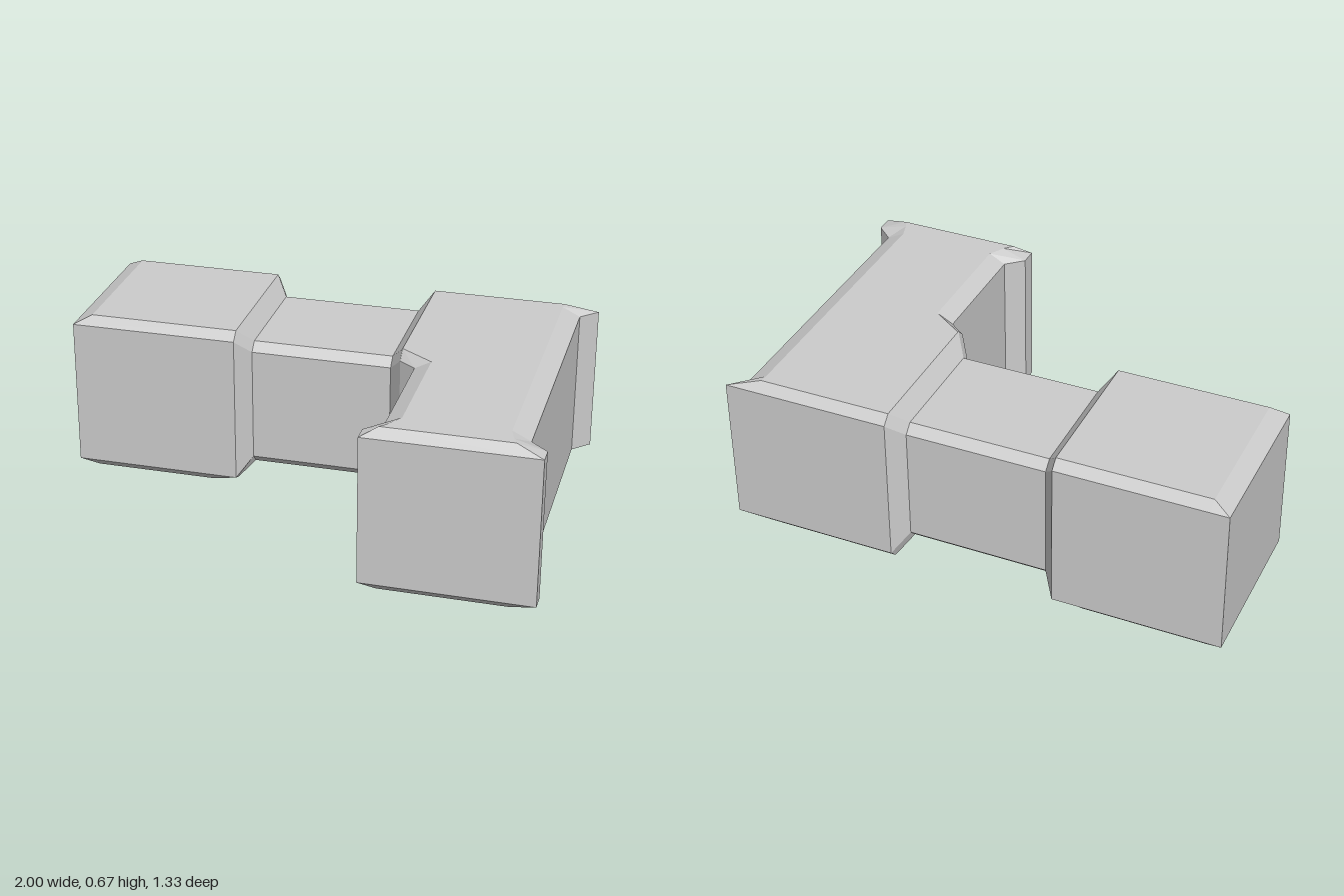
import * as THREE from 'three';

// Skin between equal-length rings; each ring winds clockwise seen along the loft direction's tip.
function loft(name, rings, dir, capStart, capEnd) {
  const pos = [];
  const d = new THREE.Vector3(...dir);
  const tri = (...pts) => pts.forEach((p) => pos.push(...p));
  for (let r = 0; r + 1 < rings.length; r++) {
    const lo = rings[r], hi = rings[r + 1];
    lo.forEach((a, i) => {
      const j = (i + 1) % lo.length;
      tri(a, hi[i], hi[j]);
      tri(a, hi[j], lo[j]);
    });
  }
  const cap = (ring, sign) => {
    const flat = ring.map(([x, y, z]) => (dir[0] ? new THREE.Vector2(z, y) : new THREE.Vector2(x, z)));
    for (const face of THREE.ShapeUtils.triangulateShape(flat, [])) {
      const [a, b, c] = face.map((i) => new THREE.Vector3(...ring[i]));
      const n = b.clone().sub(a).cross(c.clone().sub(a));
      const order = n.dot(d) * sign > 0 ? [a, b, c] : [a, c, b];
      tri(...order.map((v) => v.toArray()));
    }
  };
  if (capStart) cap(rings[0], -1);
  if (capEnd) cap(rings[rings.length - 1], 1);
  const geo = new THREE.BufferGeometry();
  geo.setAttribute('position', new THREE.Float32BufferAttribute(pos, 3));
  geo.computeVertexNormals();
  const mesh = new THREE.Mesh(geo, new THREE.MeshStandardMaterial({ color: 0xcccccc, flatShading: true }));
  mesh.name = name;
  return mesh;
}

// Chamfered rectangle in the plane of constant x.
function section(x, z0, z1, y0, y1, c) {
  return [
    [z0 + c, y0], [z1 - c, y0], [z1, Math.max(y0, 0.035) + (y0 > 0.05 ? c : 0)], [z1, y1 - c],
    [z1 - c, y1], [z0 + c, y1], [z0, y1 - c], [z0, Math.max(y0, 0.035) + (y0 > 0.05 ? c : 0)],
  ].map(([z, y]) => [x, y, z]);
}

export function createModel() {
  const group = new THREE.Group();
  group.name = 'cornerWall';
  const W = 0.667, N = 1 / 3, C = 0.035;
  const X = [1, 0, 0], Y = [0, 1, 0];
  const block = (x, y0 = 0) => section(x, -W, 0, y0, W, C);
  const waist = (x) => section(x, -0.6, -0.07, 0.07, 0.6, C);

  // End block, with its outer top and bottom edges sloping to the end face
  group.add(loft('endBlock', [
    section(-1, -W, 0, C, W - C, 0),
    block(-0.93), block(-0.44), block(-N, 0.022), waist(-0.28),
  ], X, true, false));

  // Narrow connecting bar and the flare into the corner block
  group.add(loft('connectingBar', [waist(-0.28), waist(0.28)], X, false, false));
  group.add(loft('barFlare', [waist(0.28), block(N)], X, false, false));

  // Corner block and side arm: outer plan with flared ends, inset plan for top and bottom
  const outer = [
    [N, -W], [1, -W], [0.933, -0.6], [0.933, 0.54], [1, 0.6], [1, W],
    [N, W], [N, 0.6], [0.4, 0.54], [0.4, 0.05], [N, 0],
  ];
  const inset = [
    [N, -0.632], [0.865, -0.632], [0.862, -0.6], [0.862, 0.54], [0.88, 0.6], [0.895, 0.632],
    [0.4, 0.632], [0.43, 0.6], [0.465, 0.54], [0.465, 0.05], [N, -0.04],
  ];
  const plan = (pts, y) => pts.map(([x, z]) => [x, y, z]);
  group.add(loft('cornerArm', [
    plan(inset, 0), plan(outer, C), plan(outer, W - C), plan(inset, W),
  ], Y, true, true));

  return group;
}
